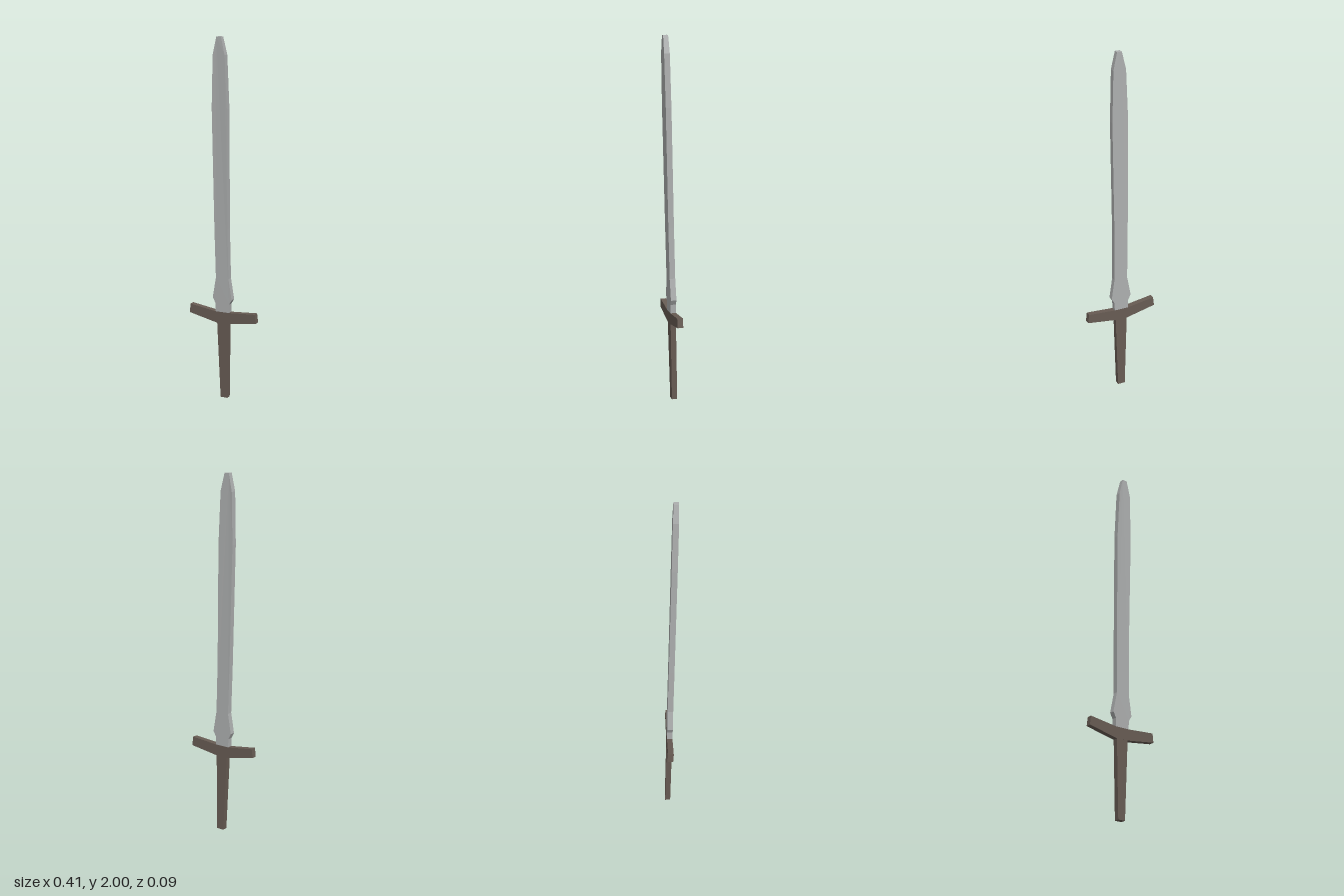
import * as THREE from 'three';

const steel = new THREE.MeshStandardMaterial({ color: 0xacaeae });
steel.name = 'steel';
const wood = new THREE.MeshStandardMaterial({ color: 0x675b53 });
wood.name = 'wood';

// Flat slab cut from an outline of [x, y] points, centred on z = 0
function slab(name, points, depth, material) {
  const shape = new THREE.Shape(points.map(([x, y]) => new THREE.Vector2(x, y)));
  const geometry = new THREE.ExtrudeGeometry(shape, { depth, bevelEnabled: false });
  geometry.translate(0, 0, -depth / 2);
  const mesh = new THREE.Mesh(geometry, material);
  mesh.name = name;
  return mesh;
}

export function createModel() {
  const sword = new THREE.Group();
  sword.name = 'sword';

  // Blade: flared base, slight swelling near the top, blunt tip
  const blade = slab('blade', [
    [0.04, 0.497], [0.042, 0.545], [0.058, 0.572], [0.04, 0.69],
    [0.037, 0.97], [0.042, 1.62], [0.033, 1.905], [0.011, 2.0],
    [-0.016, 2.0], [-0.038, 1.905], [-0.048, 1.625], [-0.042, 0.97],
    [-0.037, 0.69], [-0.058, 0.577], [-0.042, 0.545], [-0.042, 0.497],
  ], 0.031, steel);
  // Taper the blade thickness toward the tip
  const p = blade.geometry.attributes.position;
  for (let i = 0; i < p.count; i++) {
    if (p.getY(i) > 1.95) p.setZ(i, p.getZ(i) * 0.87);
  }
  blade.geometry.computeVertexNormals();

  // Crossguard with arms sweeping up
  const guard = slab('crossguard', [
    [-0.033, 0.432], [0.035, 0.434], [0.203, 0.457], [0.197, 0.508],
    [0.04, 0.497], [-0.042, 0.497], [-0.198, 0.521], [-0.204, 0.471],
  ], 0.031, wood);

  // Grip narrowing to the bottom
  const grip = slab('grip', [
    [-0.018, 0], [0.024, 0], [0.035, 0.434], [-0.033, 0.432],
  ], 0.03, wood);

  // The whole sword leans forward and is turned slightly
  sword.add(blade, guard, grip);
  sword.rotation.set(0.023, 0.09, 0);
  sword.position.z = -0.018;

  const model = new THREE.Group();
  model.add(sword);
  return model;
}
